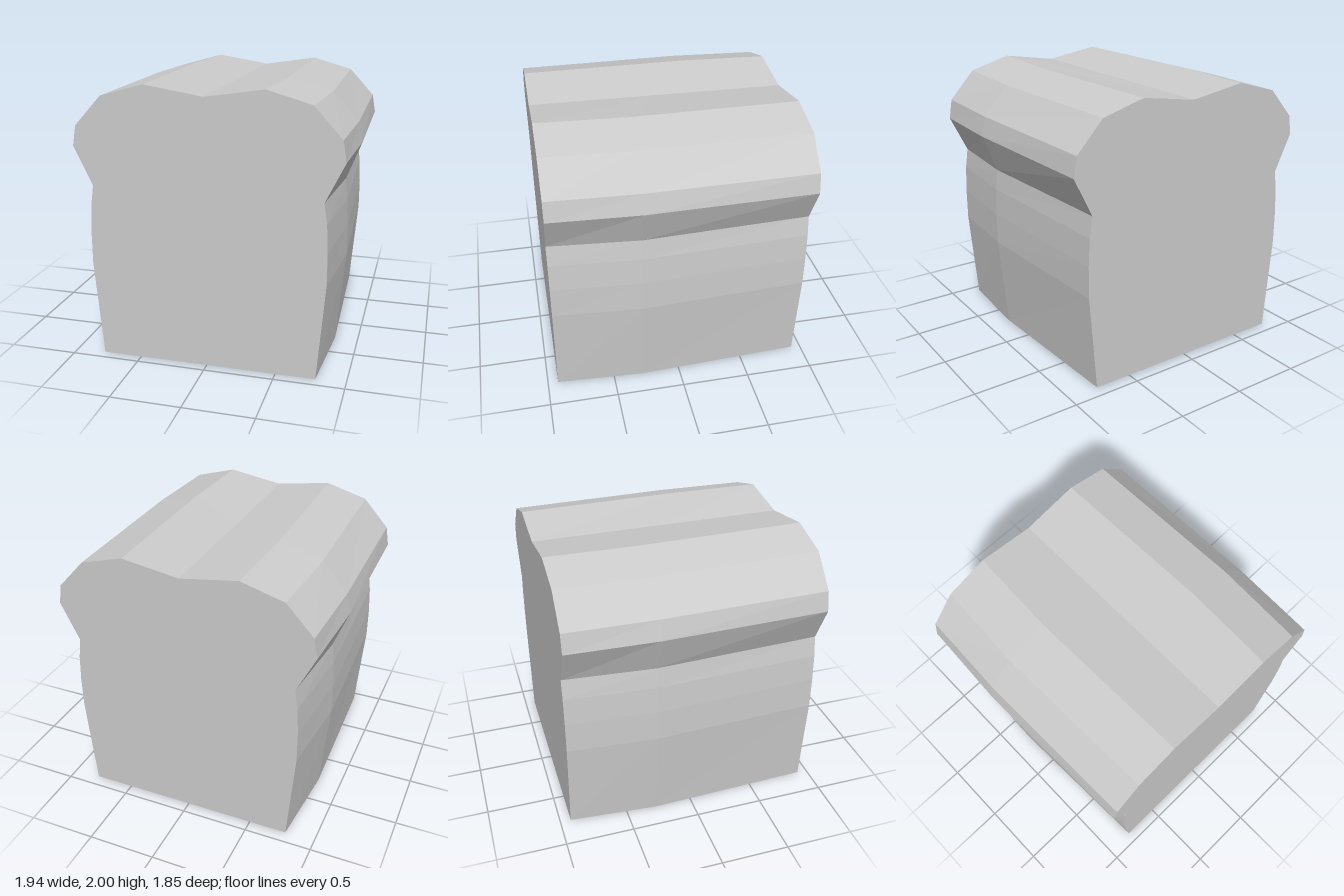
import * as THREE from 'three';

// Right half of the loaf outline, bottom to top: [end x, bulged middle x, y]
const HALF = [
  [0.785, 0.83, 0],
  [0.842, 0.893, 0.7],
  [0.842, 0.892, 0.93],
  [0.832, 0.882, 1.13],
  [0.81, 0.865, 1.28],
  [0.943, 0.972, 1.555],
  [0.918, 0.94, 1.7],
  [0.725, 0.755, 1.912],
  [0.415, 0.44, 2.0],
];

// Full outline, anticlockwise seen from the front; side is -1, 0 or 1
const OUTLINE = [
  ...HALF.map(([end, mid, y]) => ({ end, mid, y, side: 1 })),
  { end: 0, mid: 0, y: 1.935, side: 0 },
  ...[...HALF].reverse().map(([end, mid, y]) => ({ end: -end, mid: -mid, y, side: -1 })),
];

// The back end is very slightly shorter than the front
const tapered = (y, t) => 1 + (y - 1) * (1 - 0.015 * t);

function loafGeometry() {
  const depth = 0.925;
  const bulgeZ = 0.28; // the widest point sits forward on one side, back on the other
  const rings = [
    OUTLINE.map(p => new THREE.Vector3(p.end, p.y, depth)),
    OUTLINE.map(p => new THREE.Vector3(p.mid, tapered(p.y, 0.5), bulgeZ * p.side)),
    OUTLINE.map(p => new THREE.Vector3(p.end, tapered(p.y, 1), -depth)),
  ];
  const points = [];
  const n = OUTLINE.length;

  // Crust: strips joining the three cross-sections
  for (let r = 0; r < 2; r++) {
    for (let i = 0; i < n; i++) {
      const j = (i + 1) % n;
      const [a, b] = [rings[r][i], rings[r][j]];
      const [c, d] = [rings[r + 1][i], rings[r + 1][j]];
      points.push(a, c, d, a, d, b);
    }
  }

  // Cut ends
  const flat = OUTLINE.map(p => new THREE.Vector2(p.end, p.y));
  for (const [a, b, c] of THREE.ShapeUtils.triangulateShape(flat, [])) {
    points.push(rings[0][a], rings[0][b], rings[0][c]);
    points.push(rings[2][c], rings[2][b], rings[2][a]);
  }

  const geometry = new THREE.BufferGeometry().setFromPoints(points);
  geometry.computeVertexNormals();
  return geometry;
}

export function createModel() {
  const group = new THREE.Group();
  group.name = 'breadLoaf';
  const material = new THREE.MeshStandardMaterial({ color: 0xcccccc, flatShading: true });
  const loaf = new THREE.Mesh(loafGeometry(), material);
  loaf.name = 'loaf';
  group.add(loaf);
  return group;
}
